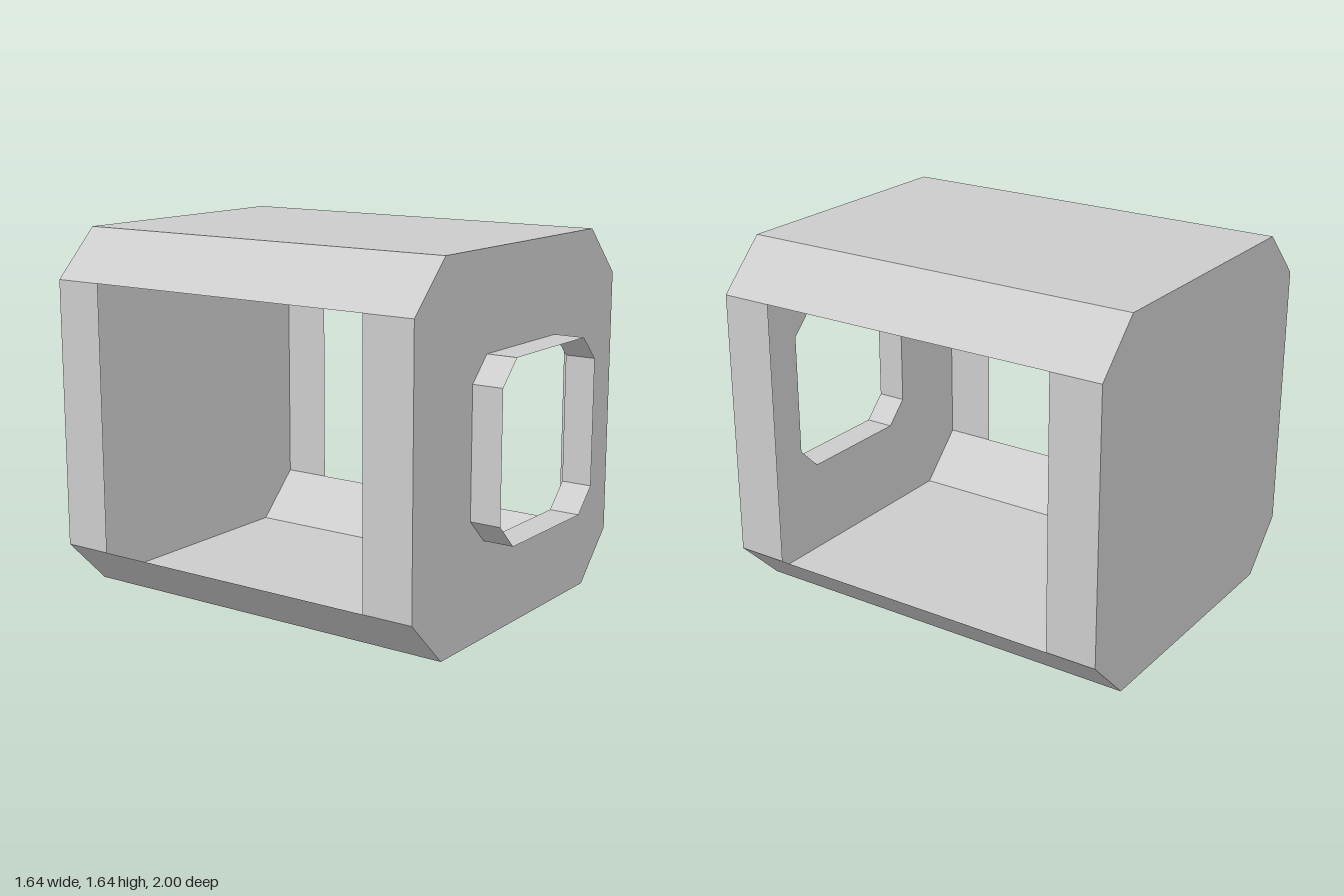
import * as THREE from 'three';

const CENTER_Y = 0.8225;
const BACK = -1, FRONT = 0.86, TIP = 1;

// Corners of a chamfered square, counter-clockwise from the lower right side
function octagon(half, cut, cy) {
  const k = half - cut;
  return [[half, -k], [half, k], [k, half], [-k, half], [-half, k], [-half, -k], [-k, -half], [k, -half]]
    .map(([x, y]) => new THREE.Vector2(x, y + cy));
}

// Flat sheet spanning the edge a-b between two depths
function sheet(a, b, z0, z1) {
  const p = [[a, z1], [a, z0], [b, z0], [a, z1], [b, z0], [b, z1]];
  const g = new THREE.BufferGeometry();
  g.setAttribute('position', new THREE.Float32BufferAttribute(p.flatMap(([v, z]) => [v.x, v.y, z]), 3));
  g.computeVertexNormals();
  return g;
}

export function createModel() {
  const model = new THREE.Group();
  model.name = 'openCabin';
  const grey = new THREE.MeshStandardMaterial({ color: 0xcccccc, side: THREE.DoubleSide });
  grey.name = 'plain grey';

  function add(name, geometry, parent = model) {
    const mesh = new THREE.Mesh(geometry, grey);
    mesh.name = name;
    parent.add(mesh);
    return mesh;
  }

  const outer = octagon(0.82, 0.215, CENTER_Y);
  const port = octagon(0.392, 0.107, CENTER_Y);

  // Long shell panels; the two upright sides keep only their end posts
  const panels = ['rightHandSide', 'upperLeftChamfer', 'roof', 'upperRightChamfer',
    'side', 'lowerRightChamfer', 'floor', 'lowerLeftChamfer'];
  outer.forEach((a, i) => {
    const b = outer[(i + 1) % 8];
    if (i === 0 || i === 4) {
      const side = i === 0 ? 'left' : 'right';
      add(side + 'FrontPost', sheet(a, b, 0.625, FRONT));
      add(side + 'BackPost', sheet(a, b, BACK, -0.77));
    } else {
      add(panels[i], sheet(a, b, BACK, FRONT));
    }
  });

  // Closed back wall, facing -z
  const back = new THREE.ShapeGeometry(new THREE.Shape(outer));
  back.rotateY(Math.PI);
  add('backWall', back).position.z = BACK;

  // Front wall with the port cut out
  const wall = new THREE.Shape(outer);
  wall.holes.push(new THREE.Path(port));
  add('frontWall', new THREE.ShapeGeometry(wall)).position.z = FRONT;

  // Open collar standing out around the port
  const collar = new THREE.Group();
  collar.name = 'portCollar';
  model.add(collar);
  port.forEach((a, i) => add('collarPanel', sheet(a, port[(i + 1) % 8], FRONT, TIP), collar));

  return model;
}
